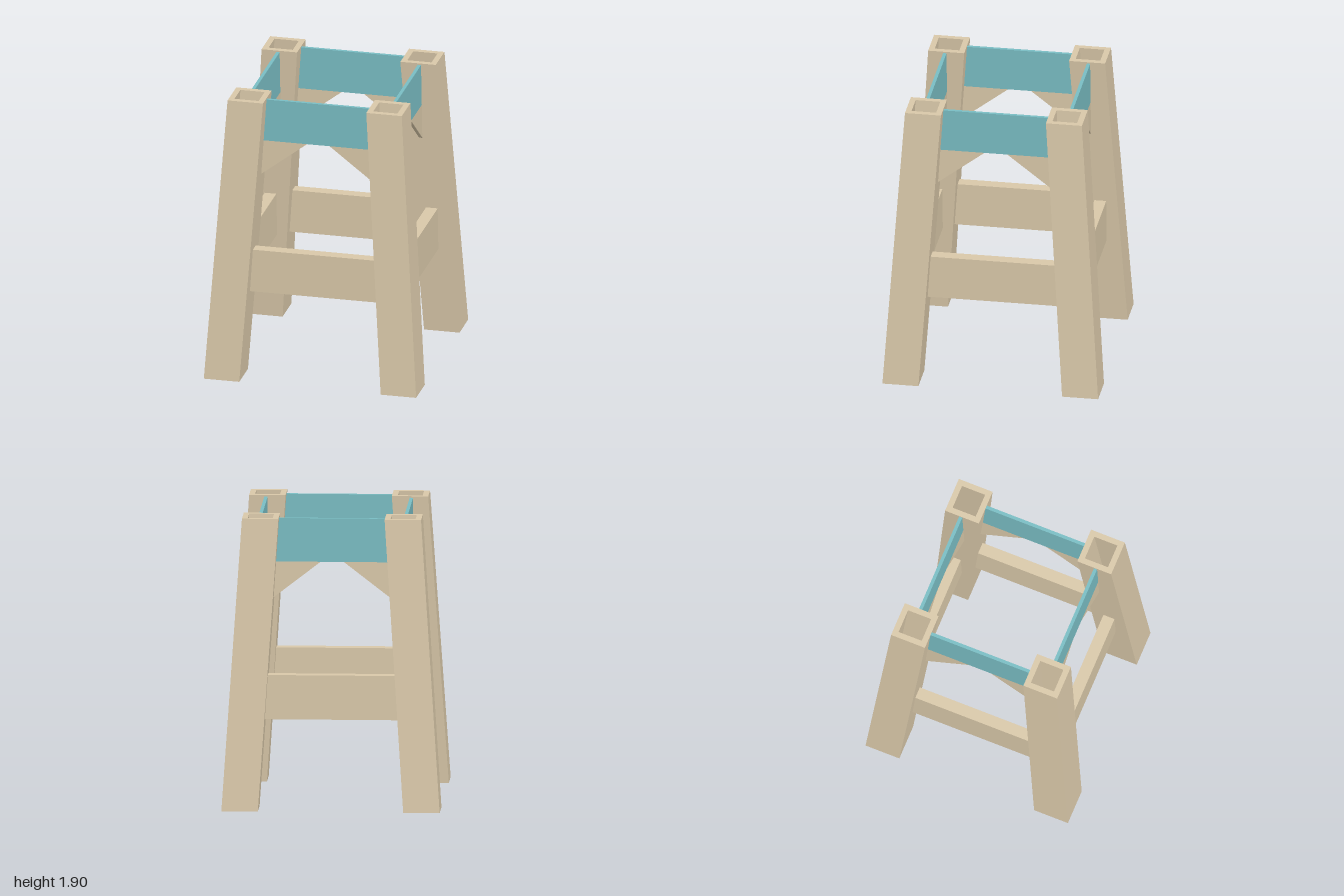
import * as THREE from 'three';

const wood = new THREE.MeshStandardMaterial({ color: 0xd9c8a9 });
wood.name = 'pale wood';
const teal = new THREE.MeshStandardMaterial({ color: 0x79bdc3 });
teal.name = 'teal panel';
const tan = new THREE.MeshStandardMaterial({ color: 0xd9b080 });
tan.name = 'tan socket floor';

const HEIGHT = 1.9;
const legCentre = (y) => 0.833 - 0.0945 * y; // legs lean inward as they rise
const OUTER = 0.167, HOLE = 0.114, FLOOR_Y = 1.3;

function mesh(name, geometry, material) {
  const m = new THREE.Mesh(geometry, material);
  m.name = name;
  return m;
}

// Four-sided turned profile, sheared along x to lean
function leaning(profile) {
  const points = profile.map(([r, y]) => new THREE.Vector2(r, y));
  const g = new THREE.LatheGeometry(points, 4).toNonIndexed();
  const p = g.attributes.position;
  for (let i = 0; i < p.count; i++) p.setX(i, p.getX(i) + legCentre(p.getY(i)));
  g.computeVertexNormals();
  return g;
}

// Upright board: outline in (along, height), between two distances from the middle
function board(outline, near, far) {
  const shape = new THREE.Shape(outline.map(([u, y]) => new THREE.Vector2(u, y)));
  const g = new THREE.ExtrudeGeometry(shape, { depth: far - near, bevelEnabled: false });
  return g.translate(0, 0, near);
}

// Where a board ends, just inside the side face of a leg
const endAt = (y) => (legCentre(y) - OUTER) / Math.SQRT2 + 0.012;

function trapezoid(y0, y1) {
  return [[-endAt(y0), y0], [endAt(y0), y0], [endAt(y1), y1], [-endAt(y1), y1]];
}

export function createModel() {
  const model = new THREE.Group();
  model.name = 'stoolFrame';

  const legGeometry = leaning([[0, 0], [OUTER, 0], [OUTER, HEIGHT], [HOLE, HEIGHT], [HOLE, FLOOR_Y]]);
  const floorGeometry = leaning([[HOLE, FLOOR_Y], [0, FLOOR_Y]]);
  const railGeometry = board(trapezoid(0.585, 0.875), 0.4985, 0.576);
  const panelGeometry = board(trapezoid(1.605, 1.89), 0.46, 0.482);

  // Triangular corner braces under each panel
  const tip = endAt(1.36);
  const braceGeometries = [1, -1].map((s) => {
    const outline = [[0.075 * s, 1.605], [tip * s, 1.36], [endAt(1.605) * s, 1.605]];
    return board(outline, 0.46, 0.482);
  });

  for (let i = 0; i < 4; i++) {
    // Hollow-topped leg on each axis
    const leg = new THREE.Group();
    leg.name = 'leg';
    leg.add(mesh('legPost', legGeometry, wood), mesh('socketFloor', floorGeometry, tan));
    leg.rotation.y = (i * Math.PI) / 2;

    // Rail, panel and braces joining neighbouring legs
    const side = new THREE.Group();
    side.name = 'side';
    side.add(mesh('rail', railGeometry, wood), mesh('apronPanel', panelGeometry, teal));
    braceGeometries.forEach((g) => side.add(mesh('cornerBrace', g, wood)));
    side.rotation.y = Math.PI / 4 + (i * Math.PI) / 2;

    model.add(leg, side);
  }
  return model;
}
